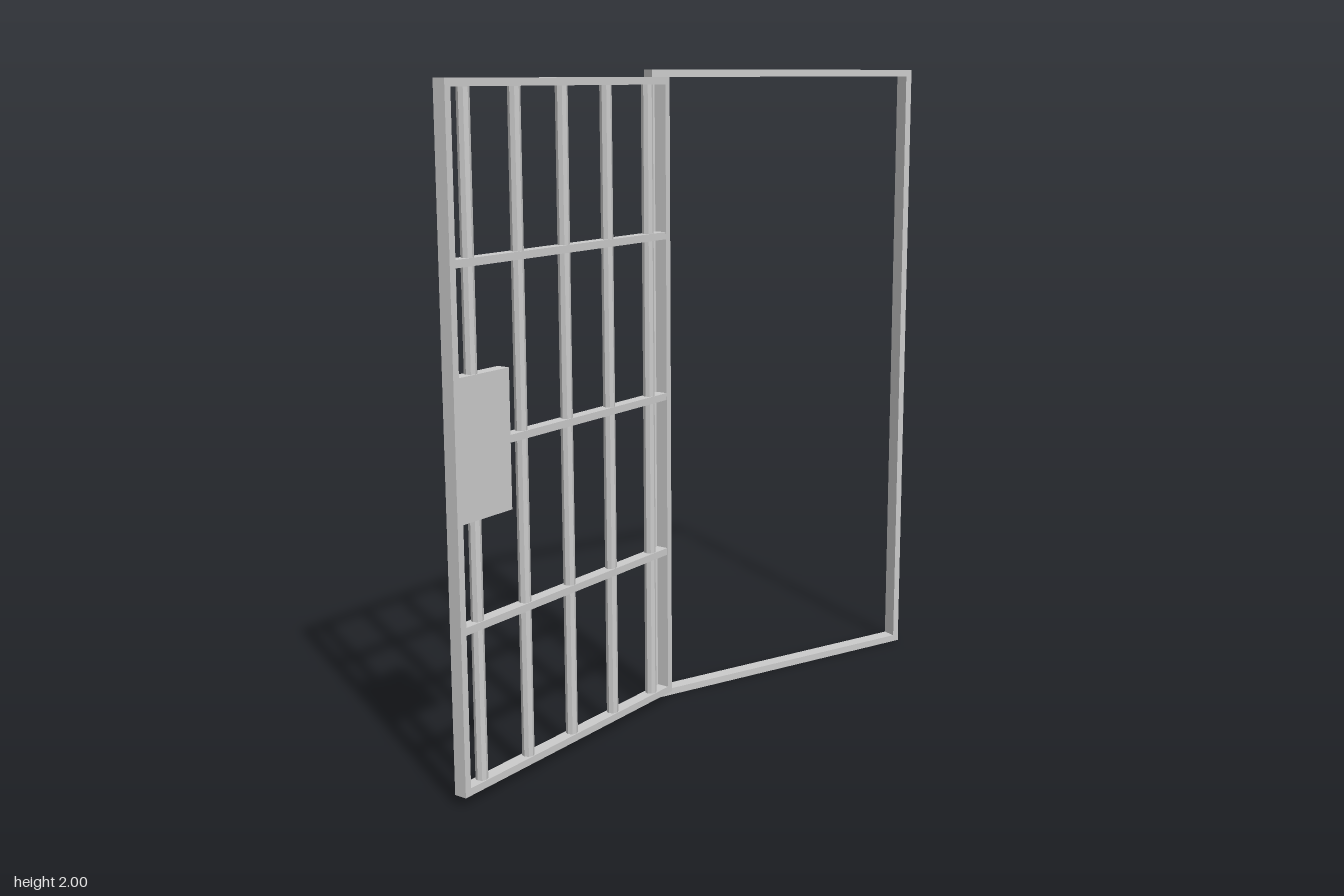
import * as THREE from 'three';

const mat = new THREE.MeshStandardMaterial({ color: 0xcccccc, flatShading: true });

function add(parent, name, geometry, x, y, z = 0) {
  const mesh = new THREE.Mesh(geometry, mat);
  mesh.name = name;
  mesh.position.set(x, y, z);
  parent.add(mesh);
  return mesh;
}

// Hollow rectangle, extruded through its depth and centred on z
function rectFrame(w, h, bar, depth) {
  const shape = new THREE.Shape();
  shape.moveTo(-w / 2, -h / 2).lineTo(w / 2, -h / 2).lineTo(w / 2, h / 2).lineTo(-w / 2, h / 2).closePath();
  const a = w / 2 - bar, b = h / 2 - bar;
  const hole = new THREE.Path();
  hole.moveTo(-a, -b).lineTo(-a, b).lineTo(a, b).lineTo(a, -b).closePath();
  shape.holes.push(hole);
  return new THREE.ExtrudeGeometry(shape, { depth, bevelEnabled: false }).translate(0, 0, -depth / 2);
}

export function createModel() {
  const model = new THREE.Group();
  model.name = 'barredDoor';

  // Fixed door frame
  add(model, 'doorFrame', rectFrame(1.02, 2, 0.022, 0.046), 0.44, 1, -0.204);

  // Open gate, swung forward
  const gate = new THREE.Group();
  gate.name = 'gate';
  gate.position.set(-0.49, 0, 0.019);
  gate.rotation.y = THREE.MathUtils.degToRad(22);
  model.add(gate);

  const w = 0.977, h = 1.95, bar = 0.022, depth = 0.04;
  add(gate, 'gateFrame', rectFrame(w, h, bar, depth), 0, 1.003);

  // Upright round bars
  for (let i = -2; i <= 2; i++) {
    add(gate, 'uprightBar', new THREE.CylinderGeometry(0.018, 0.018, h - 2 * bar, 8), i * 0.2, 1.003);
  }

  // Cross rails
  for (const y of [0.503, 1.003, 1.503]) {
    add(gate, 'crossRail', new THREE.BoxGeometry(w - 2 * bar, bar, depth * 0.95), 0, y);
  }

  // Lock box beside the free edge
  add(gate, 'lockBox', new THREE.BoxGeometry(0.2, 0.4, depth), -0.368, 1.003);

  return model;
}
